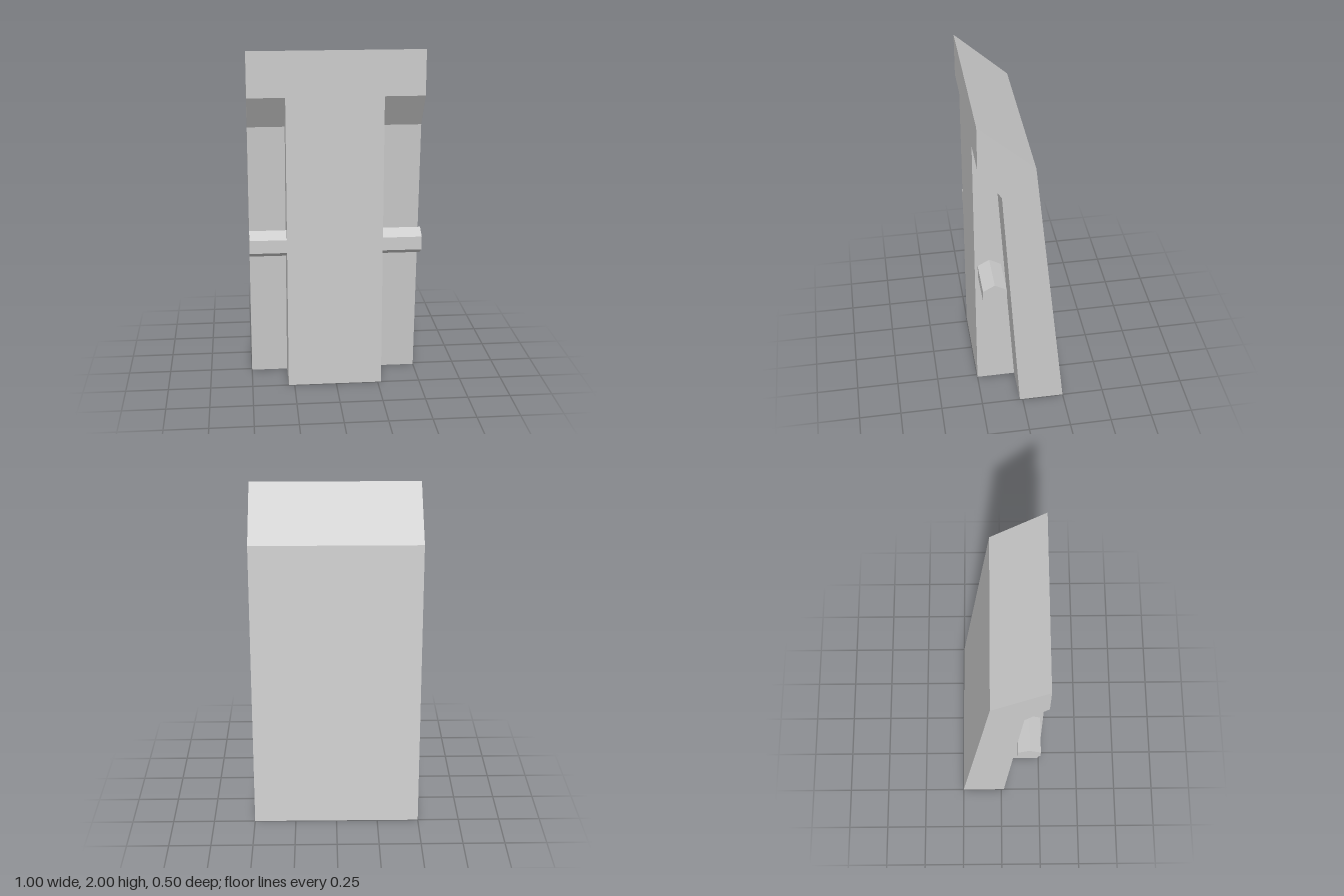
import * as THREE from 'three';

const material = new THREE.MeshStandardMaterial({ color: 0xcccccc, flatShading: true });

// Extrudes a side profile of [z, y] points across the width from x0 to x1.
function slab(name, profile, x0, x1) {
  const shape = new THREE.Shape(profile.map(([z, y]) => new THREE.Vector2(-z, y)));
  const geometry = new THREE.ExtrudeGeometry(shape, { depth: x1 - x0, bevelEnabled: false });
  geometry.rotateY(Math.PI / 2);
  geometry.translate(x0, 0, 0);
  const mesh = new THREE.Mesh(geometry, material);
  mesh.name = name;
  return mesh;
}

export function createModel() {
  const model = new THREE.Group();
  model.name = 'slantedPillar';

  // Recessed front edge, shared by the shell and the centre panel
  const recess = [[0.25, 1.74], [0.122, 1.55], [0.017, 0]];

  // Sloping back shell with the overhanging wedge top
  model.add(slab('backShell', [...recess, [-0.25, 0], [-0.06, 1.72], [0.25, 2]], -0.5, 0.5));

  // Upright panel filling the middle of the recess
  model.add(slab('centrePanel', [...recess, [0.25, 0]], -0.285, 0.27));

  // Hexagonal bar running through the panel and showing on both sides
  const hexagon = Array.from({ length: 6 }, (_, i) => {
    const a = Math.PI / 2 + (i * Math.PI) / 3;
    return [0.165 + 0.078 * Math.cos(a), 0.868 + 0.078 * Math.sin(a)];
  });
  model.add(slab('hexBar', hexagon, -0.5, 0.5));

  return model;
}
